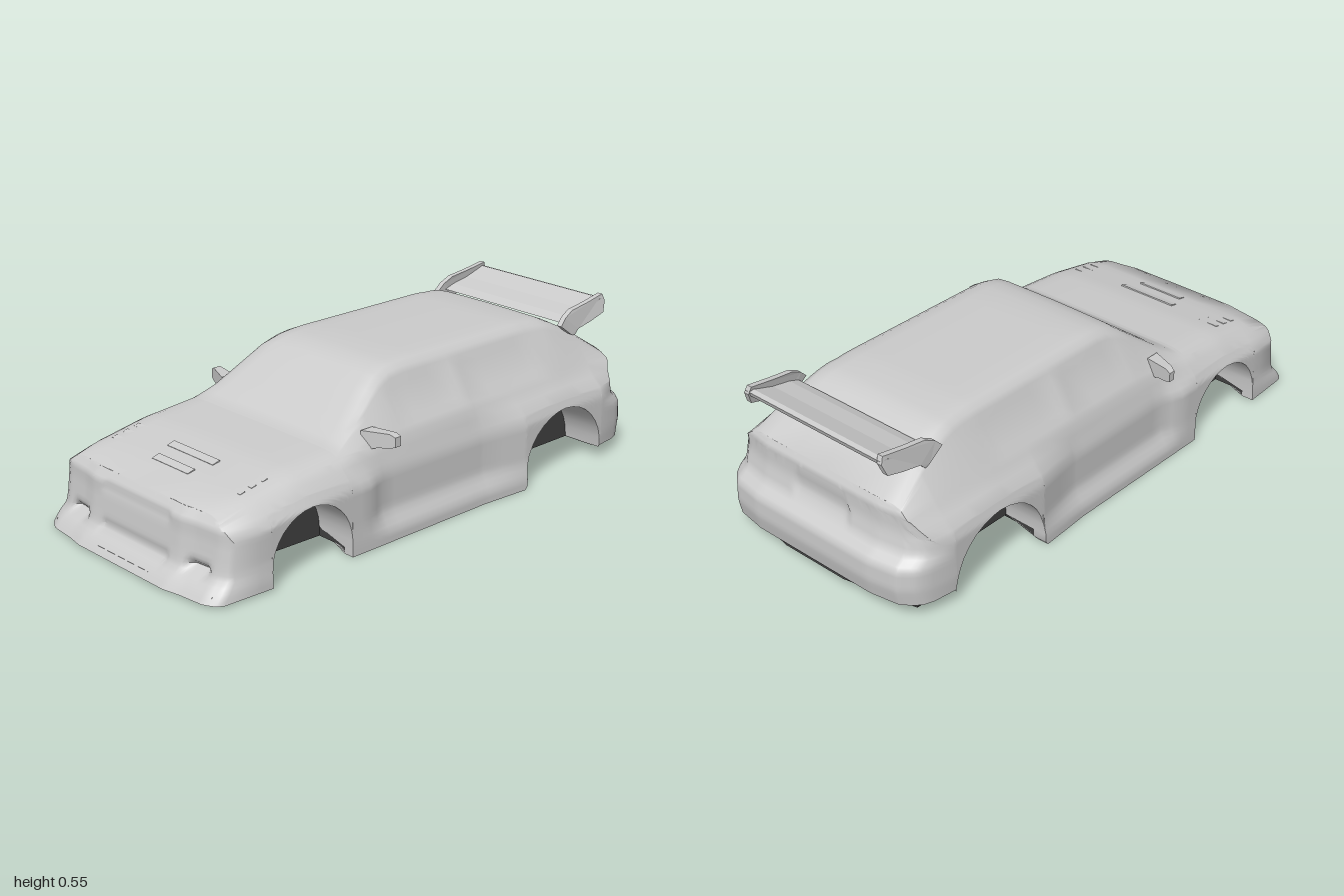
import * as THREE from 'three';
import { toCreasedNormals } from 'three/addons/utils/BufferGeometryUtils.js';

const mat = new THREE.MeshStandardMaterial({ color: 0xcccccc, side: THREE.DoubleSide });
const darkMat = new THREE.MeshStandardMaterial({ color: 0x404040, side: THREE.DoubleSide });
const lerp = THREE.MathUtils.lerp;

// Piecewise linear lookup through ascending [position, value] keys
function at(keys, p) {
  if (p <= keys[0][0]) return keys[0][1];
  for (let i = 1; i < keys.length; i++) {
    const [a, va] = keys[i - 1], [b, vb] = keys[i];
    if (p <= b) return lerp(va, vb, (p - a) / (b - a));
  }
  return keys[keys.length - 1][1];
}

// Body dimensions along the length (z)
const rimY = [[-0.8, 0.062], [-0.4, 0.025], [-0.39, 0.012], [0.41, 0.012], [0.75, 0.02]];
const floorY = [[-0.4, 0.053], [-0.39, 0.035], [0.41, 0.035], [0.75, 0.042]];
const lowW = [[-0.93, 0.425], [-0.8, 0.435], [-0.4, 0.452], [-0.2, 0.438], [0.41, 0.438], [0.75, 0.445], [0.93, 0.435]];
const midW = [[-0.93, 0.428], [-0.8, 0.44], [-0.4, 0.442], [-0.22, 0.408], [0.25, 0.406], [0.33, 0.435], [0.75, 0.44], [0.93, 0.425]];
const shoulderW = [[-0.93, 0.41], [-0.8, 0.428], [-0.4, 0.43], [-0.2, 0.398], [0.25, 0.398], [0.41, 0.42], [0.79, 0.415], [0.93, 0.395]];
const shoulderY = [[-0.93, 0.28], [-0.6, 0.285], [-0.2, 0.27], [0.6, 0.27], [0.93, 0.235]];
const beltW = [[-0.93, 0.365], [-0.6, 0.38], [0.4, 0.378], [0.93, 0.37]];
const beltY = [[-0.93, 0.34], [-0.6, 0.345], [0.3, 0.33], [0.6, 0.31], [0.79, 0.278], [0.93, 0.25]];
const edgeW = [[-0.93, 0.325], [-0.72, 0.285], [-0.6, 0.272], [0.1, 0.272], [0.17, 0.285], [0.4, 0.355], [0.93, 0.355]];
const edgeY = [[-0.93, 0.368], [-0.72, 0.485], [-0.65, 0.51], [-0.55, 0.518], [0.05, 0.518], [0.1, 0.512], [0.16, 0.488], [0.33, 0.37], [0.4, 0.336], [0.6, 0.32], [0.79, 0.286], [0.93, 0.258]];
const topY = [[-0.93, 0.38], [-0.72, 0.503], [-0.67, 0.525], [-0.55, 0.536], [0, 0.538], [0.1, 0.531], [0.16, 0.512], [0.33, 0.385], [0.4, 0.346], [0.6, 0.332], [0.79, 0.297], [0.93, 0.268]];
const windowInset = [[-0.58, 0], [-0.52, 0.006], [-0.22, 0.006], [-0.2, 0], [-0.16, 0], [-0.14, 0.006], [0.1, 0.006], [0.14, 0]];
const arches = [{ z: 0.578, y: 0.068, r: 0.168 }, { z: -0.6, y: 0.055, r: 0.2 }];

// A soft-edged rectangle used to press details into the end panels
const pad = (x, y, cx, cy, hw, hh) => {
  const e = (v, h) => THREE.MathUtils.smoothstep(h - Math.abs(v), -0.012, 0.012);
  return e(x - cx, hw) * e(y - cy, hh);
};
function noseZ(x, y) {
  const ax = Math.abs(x);
  const z = at([[0.02, 0.995], [0.045, 0.978], [0.085, 0.938], [0.13, 0.93], [0.19, 0.922], [0.235, 0.92], [0.27, 0.893]], y);
  const corner = at([[0.22, 0], [0.28, 0.012], [0.38, 0.022], [0.42, 0.042], [0.45, 0.09]], ax);
  return z - corner - 0.007 * pad(x, y, 0, 0.222, 0.17, 0.016) - 0.01 * pad(x, y, 0, 0.09, 0.17, 0.018)
    - 0.025 * pad(ax, y, 0.3, 0.095, 0.045, 0.014);
}
function tailZ(x, y) {
  const z = at([[0.06, -0.985], [0.12, -0.998], [0.195, -0.995], [0.225, -0.952], [0.3, -0.932], [0.35, -0.936], [0.38, -0.92]], y);
  const corner = at([[0.25, 0], [0.36, 0.018], [0.41, 0.06], [0.44, 0.14]], Math.abs(x));
  return Math.min(-0.83, z + corner + 0.01 * pad(x, y, 0, 0.27, 0.12, 0.025));
}

// Half cross-section, from the floor centre up the left side to the roof centre
const ROWS = 14;
function halfSection([z, bottom, inner]) {
  const f = at(floorY, z), sy = at(shoulderY, z), sw = at(shoulderW, z), mw = at(midW, z);
  const side = [[0.05, at(lowW, z)], [0.11, mw], [sy - 0.035, mw], [sy, sw]];
  const pts = [[0, f], [0.13, f], [inner, f], [inner, bottom]];
  for (let i = 0; i <= ROWS; i++) {
    const y = lerp(bottom, sy, i / ROWS);
    pts.push([at(side, y), y]);
  }
  const bw = at(beltW, z), by = at(beltY, z), ew = at(edgeW, z), ey = at(edgeY, z), ty = at(topY, z), ins = at(windowInset, z);
  pts.push([lerp(sw, bw, 0.6), lerp(sy, by, 0.5)], [bw, by]);
  for (const [t, d] of [[0.12, 0], [0.25, ins], [0.75, ins], [0.9, 0]]) pts.push([lerp(bw, ew, t) - d, lerp(by, ey, t)]);
  pts.push([ew, ey], [ew - 0.025, lerp(ey, ty, 0.65)], [ew - 0.07, lerp(ey, ty, 0.88)], [ew * 0.4, ty - 0.001], [0, ty]);
  return pts;
}

// Returns the painted shell and the dark underside
function bodyGeometries() {
  // Stations along z: position, lower edge and floor half-width, stepping at each wheel arch
  const stations = [];
  const plain = (z) => stations.push([z, at(rimY, z), 0.4]);
  const arch = (a) => {
    plain(a.z - a.r);
    for (let i = 0; i <= 16; i++) {
      const t = Math.PI * (1 - i / 16);
      stations.push([a.z + a.r * Math.cos(t), a.y + a.r * Math.sin(t), 0.28]);
    }
    plain(a.z + a.r);
  };
  plain(-0.93);
  plain(-0.81);
  arch(arches[1]);
  [-0.39, -0.3, -0.22, -0.2, -0.16, -0.14, -0.06, 0, 0.05, 0.1, 0.13, 0.16, 0.2, 0.25, 0.29, 0.33, 0.37, 0.4].forEach(plain);
  arch(arches[0]);
  plain(0.79);
  plain(0.93);

  const pos = [], shell = [], under = [], halves = stations.map(halfSection);
  const last = stations.length - 1, ring = 2 * halves[0].length - 2;
  const quad = (idx, a, b, c, d) => idx.push(a, b, c, a, c, d);
  halves.forEach((h, k) => {
    const full = [...h, ...h.slice(1, -1).reverse().map(([x, y]) => [-x, y])];
    for (const [x, y] of full) pos.push(x, y, k === 0 ? tailZ(x, y) : k === last ? noseZ(x, y) : stations[k][0]);
  });
  for (let k = 0; k < last; k++) for (let j = 0; j < ring; j++) {
    const a = k * ring + j, b = k * ring + (j + 1) % ring;
    quad(j < 3 || j >= ring - 3 ? under : shell, a, b, b + ring, a + ring);
  }
  // Nose and tail panels
  const COLS = 64;
  for (const [h, zAt, front] of [[halves[last], noseZ, true], [halves[0], tailZ, false]]) {
    const start = pos.length / 3, rows = h.slice(4);
    for (const [w, y] of rows) for (let c = 0; c <= COLS; c++) {
      const x = lerp(-w, w, c / COLS);
      pos.push(x, y, zAt(x, y));
    }
    for (let r = 0; r < rows.length - 1; r++) for (let c = 0; c < COLS; c++) {
      const a = start + r * (COLS + 1) + c, d = a + COLS + 1;
      if (front) quad(shell, a, a + 1, d + 1, d); else quad(shell, a, d, d + 1, a + 1);
    }
  }
  return [shell, under].map((idx) => {
    const g = new THREE.BufferGeometry();
    g.setAttribute('position', new THREE.Float32BufferAttribute(pos, 3));
    g.setIndex(idx);
    return toCreasedNormals(g, 0.75);
  });
}

// Extrudes a side outline of [z, y] points across x, centred on cx
function sidePlate(points, cx, width) {
  const shape = new THREE.Shape(points.map(([z, y]) => new THREE.Vector2(-z, y)));
  const g = new THREE.ExtrudeGeometry(shape, { depth: width, bevelEnabled: false });
  return g.translate(0, 0, -width / 2).rotateY(Math.PI / 2).translate(cx, 0, 0);
}

export function createModel() {
  const car = new THREE.Group();
  car.name = 'carBody';
  const add = (name, geometry, parent = car, material = mat) => {
    const m = new THREE.Mesh(geometry, material);
    m.name = name;
    parent.add(m);
  };
  const [shell, under] = bodyGeometries();
  add('bodyShell', shell);
  add('underside', under, car, darkMat);

  // Rear wing: curved blade between two end plates
  const wing = new THREE.Group();
  wing.name = 'rearWing';
  car.add(wing);
  add('wingBlade', sidePlate([[-0.75, 0.495], [-0.8, 0.485], [-0.87, 0.498], [-0.95, 0.53], [-0.957, 0.548], [-0.94, 0.552], [-0.86, 0.524], [-0.79, 0.51]], 0, 0.6), wing);
  for (const s of [1, -1]) {
    const plate = sidePlate([[-0.715, 0.495], [-0.74, 0.52], [-0.78, 0.54], [-0.86, 0.55], [-0.95, 0.565], [-0.96, 0.54], [-0.945, 0.5], [-0.88, 0.482], [-0.81, 0.468], [-0.79, 0.448], [-0.77, 0.455]], s * 0.3, 0.02);
    // Lean the top of the plate inwards
    const p = plate.attributes.position;
    for (let i = 0; i < p.count; i++) p.setX(i, p.getX(i) - s * 0.2 * Math.max(0, p.getY(i) - 0.5));
    plate.computeVertexNormals();
    add('wingEndPlate', plate, wing);

    // Door mirror: a box tapering outwards and swept back, on a low stem
    const mirror = new THREE.BoxGeometry(0.11, 0.05, 0.05, 6, 1, 1);
    const q = mirror.attributes.position;
    for (let i = 0; i < q.count; i++) {
      const t = q.getX(i) / 0.11 + 0.5;
      const y = q.getY(i) > 0 ? at([[0, 0.383], [0.83, 0.385], [1, 0.376]], t) : at([[0, 0.315], [0.5, 0.333], [0.83, 0.337], [1, 0.343]], t);
      q.setXYZ(i, s * (0.345 + 0.11 * t), y, 0.265 - 0.033 * t + q.getZ(i) * (1 - 0.5 * t));
    }
    if (s < 0) mirror.index.array.reverse();
    add('doorMirror', toCreasedNormals(mirror, 0.6));

    // Side bonnet louvres
    for (let i = 0; i < 3; i++) {
      const z = 0.67 + i * 0.045;
      add('sideLouvre', new THREE.BoxGeometry(0.09, 0.006, 0.02).rotateX(0.25).translate(s * 0.28, at(topY, z) - 0.005, z));
    }
  }
  // Central bonnet louvres
  for (const [z, w] of [[0.69, 0.23], [0.77, 0.18]]) {
    add('bonnetLouvre', new THREE.BoxGeometry(w, 0.007, 0.03).rotateX(0.28).translate(0, at(topY, z) - 0.001, z));
  }
  // Diffuser fins along the lower edge of the tail
  for (let i = -2; i <= 2; i++) {
    add('diffuserFin', sidePlate([[-0.9, 0.066], [-0.984, 0.066], [-0.975, 0.054], [-0.92, 0.052]], i * 0.11, 0.05));
  }
  return car;
}
